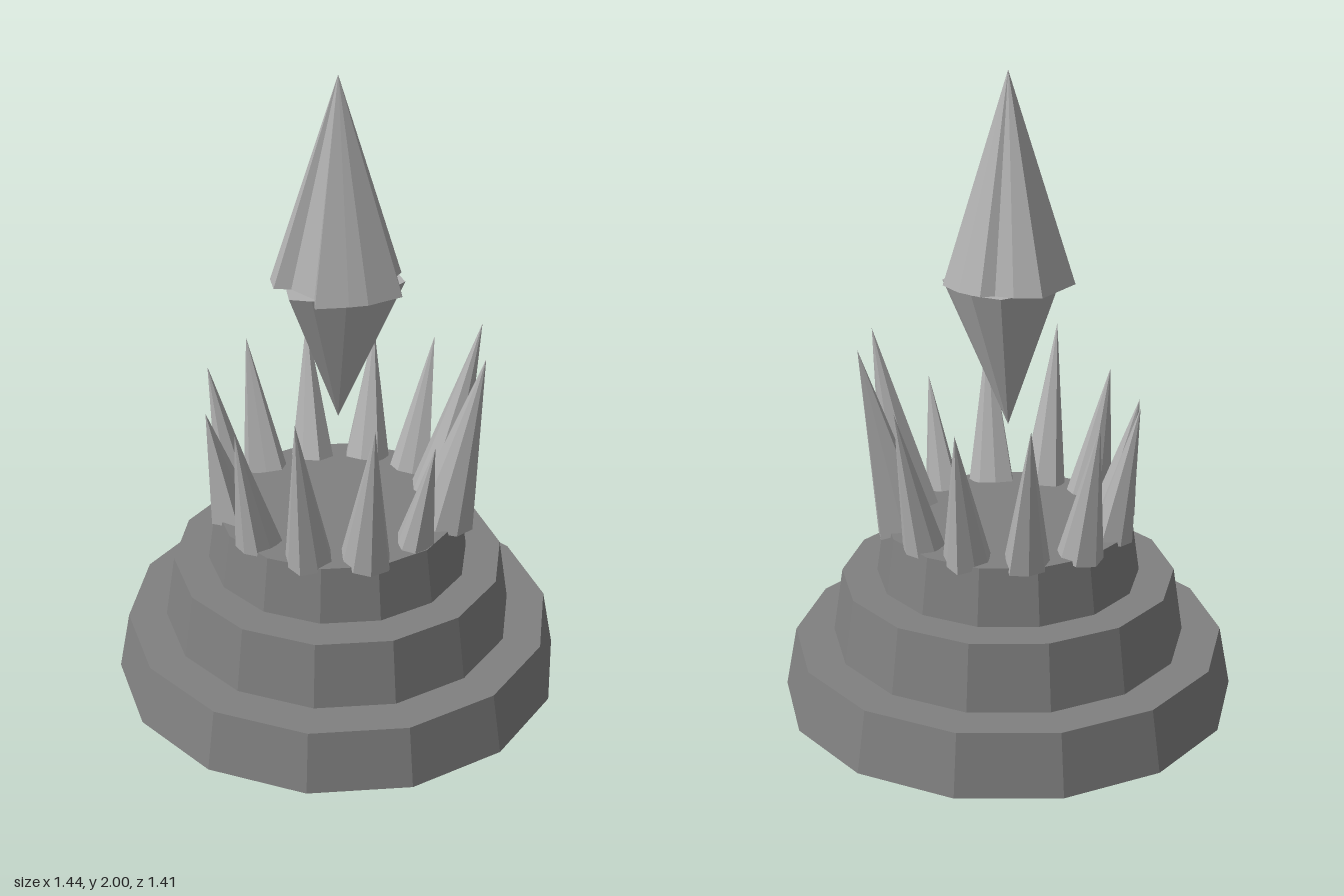
import * as THREE from 'three';

const stone = new THREE.MeshStandardMaterial({ color: 0x808080, flatShading: true });
stone.name = 'stone';
const crystal = new THREE.MeshStandardMaterial({ color: 0xb0b0b0, flatShading: true });
crystal.name = 'crystal';

// Small seeded generator for the irregular shard outlines
let seed = 11;
function rand() {
  seed = (seed * 16807) % 2147483647;
  return seed / 2147483647;
}

// Closed pyramid from a ring of [x, y, z] points (running from +x towards +z), its centre and an apex
function pyramid(name, ring, centre, apex) {
  const up = apex[1] > centre[1];
  const pos = [];
  ring.forEach((a, i) => {
    const b = ring[(i + 1) % ring.length];
    if (up) pos.push(...b, ...a, ...apex, ...a, ...b, ...centre);
    else pos.push(...a, ...b, ...apex, ...b, ...a, ...centre);
  });
  const geo = new THREE.BufferGeometry();
  geo.setAttribute('position', new THREE.Float32BufferAttribute(pos, 3));
  geo.computeVertexNormals();
  const mesh = new THREE.Mesh(geo, crystal);
  mesh.name = name;
  return mesh;
}

export function createModel() {
  const model = new THREE.Group();
  model.name = 'crystalPedestal';

  // Three stepped tiers, 14 sides with a corner on the x axis
  const tiers = [
    ['lowerTier', 0, 0.195, 0.722, 0.685],
    ['middleTier', 0.195, 0.405, 0.562, 0.53],
    ['upperTier', 0.405, 0.585, 0.418, 0.392],
  ];
  for (const [name, y0, y1, rBottom, rTop] of tiers) {
    const geo = new THREE.CylinderGeometry(rTop, rBottom, y1 - y0, 14);
    geo.rotateY(Math.PI / 2);
    const tier = new THREE.Mesh(geo, stone);
    tier.position.y = (y0 + y1) / 2;
    tier.name = name;
    model.add(tier);
  }

  // Crown of twelve outward-leaning shards, tip heights from +x towards +z
  const crown = new THREE.Group();
  crown.name = 'shardCrown';
  const heights = [0.95, 1.08, 1.1, 0.995, 0.96, 1.01, 1.02, 1.035, 1.01, 1.03, 1.165, 1.16];
  heights.forEach((h, i) => {
    const radius = 0.058 + (h - 0.95) * 0.11;
    const ring = [];
    for (let k = 0; k < 8; k++) {
      const a = (k / 8) * Math.PI * 2;
      const r = radius * (0.85 + 0.4 * rand());
      ring.push([0.338 + r * Math.cos(a), 0.58 - 0.2 * r * Math.cos(a), r * Math.sin(a)]);
    }
    const tipRadius = 0.415 + 0.217 * (h - 0.95);
    const shard = pyramid('shard', ring, [0.338, 0.58, 0], [tipRadius, h, 0]);
    shard.rotation.y = -(i / 12) * Math.PI * 2;
    crown.add(shard);
  });
  model.add(crown);

  // Floating crystal: two irregular pyramids meeting at the waist
  const waist = 1.36;
  const atWaist = ([x, z]) => [x, waist, z];
  const upperRing = [
    [0.217, -0.054], [0.19, 0.06], [0.16, 0.11], [0.1, 0.19], [0.05, 0.145], [-0.05, 0.145],
    [-0.09, 0.18], [-0.15, 0.14], [-0.205, -0.035], [-0.15, -0.1], [-0.1, -0.13],
    [-0.08, -0.17], [0, -0.19], [0.09, -0.18], [0.105, -0.13], [0.15, -0.11],
  ].map(atWaist);
  const lowerRing = [
    [0.155, 0], [0.13, 0.09], [0.055, 0.16], [0, 0.2], [-0.055, 0.16], [-0.12, 0.1],
    [-0.155, 0], [-0.14, -0.14], [-0.05, -0.18], [0.06, -0.18], [0.145, -0.14],
  ].map(atWaist);
  const floating = new THREE.Group();
  floating.name = 'floatingCrystal';
  floating.add(
    pyramid('crystalTop', upperRing, [0, waist, 0], [0, 2, 0]),
    pyramid('crystalBottom', lowerRing, [0, waist - 0.002, 0], [0, 0.9, 0]),
  );
  model.add(floating);

  return model;
}
